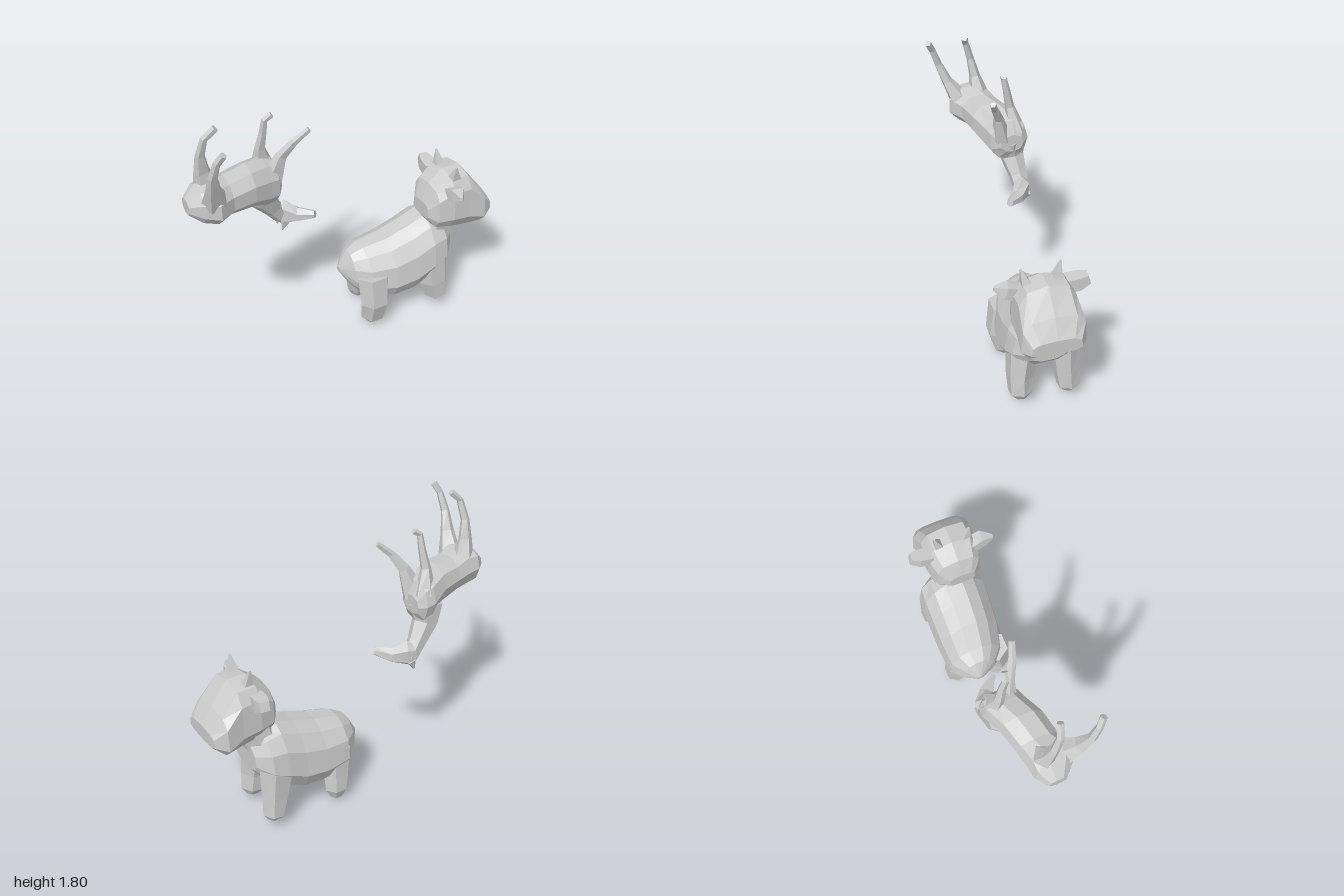
import * as THREE from 'three';

const material = new THREE.MeshStandardMaterial({ color: 0xcccccc, flatShading: true });
const V = (x, y, z) => new THREE.Vector3(x, y, z);

// Closed faceted skin over a list of rings, capped at both ends
function skin(name, rings) {
  const pos = [];
  const n = rings[0].length;
  const tri = (...pts) => pts.forEach((p) => pos.push(p.x, p.y, p.z));
  const middle = (ring) => ring.reduce((s, p) => s.add(p), V(0, 0, 0)).divideScalar(n);
  const first = rings[0], last = rings[rings.length - 1];
  const c0 = middle(first), c1 = middle(last);
  for (let j = 0; j < n; j++) {
    const k = (j + 1) % n;
    for (let i = 0; i < rings.length - 1; i++) {
      const a = rings[i][j], b = rings[i + 1][j], c = rings[i][k], d = rings[i + 1][k];
      tri(a, b, c);
      tri(b, d, c);
    }
    tri(c0, first[j], first[k]);
    tri(c1, last[k], last[j]);
  }
  const geo = new THREE.BufferGeometry();
  geo.setAttribute('position', new THREE.Float32BufferAttribute(pos, 3));
  geo.computeVertexNormals();
  const mesh = new THREE.Mesh(geo, material);
  mesh.name = name;
  return mesh;
}

// Body along x from sections [x, yMin, yMax, zMin, zMax]; taper narrows the top
function trunk(name, sections, sides, power = 0.8, taper = 0) {
  const bulge = (t) => Math.sign(t) * Math.abs(t) ** power;
  return skin(name, sections.map(([x, y0, y1, z0, z1]) =>
    Array.from({ length: sides }, (_, j) => {
      const a = ((j + 0.5) / sides) * Math.PI * 2;
      const c = bulge(Math.cos(a)), s = bulge(Math.sin(a));
      const w = ((z1 - z0) / 2) * (1 - taper * Math.max(0, s));
      return V(x, (y0 + y1) / 2 + (s * (y1 - y0)) / 2, (z0 + z1) / 2 + c * w);
    })));
}

// Limb through stations [x, y, z, radius, depth radius]
function limb(name, stations, sides = 6) {
  const pts = stations.map((s) => V(s[0], s[1], s[2]));
  return skin(name, stations.map(([, , , r, rz = r], i) => {
    const t = pts[Math.min(i + 1, pts.length - 1)].clone().sub(pts[Math.max(i - 1, 0)]).normalize();
    const ref = Math.abs(t.z) > 0.85 ? V(0, 1, 0) : V(0, 0, 1);
    const u = ref.addScaledVector(t, -ref.dot(t)).normalize();
    const v = u.clone().cross(t);
    return Array.from({ length: sides }, (_, j) => {
      const a = ((j + 0.5) / sides) * Math.PI * 2;
      return pts[i].clone().addScaledVector(u, Math.cos(a) * rz).addScaledVector(v, Math.sin(a) * r);
    });
  }));
}

function createCow() {
  const cow = new THREE.Group();
  cow.name = 'cow';
  cow.add(trunk('cowBody', [
    [0, 0.38, 0.42, -0.12, -0.08],
    [0.06, 0.28, 0.53, -0.2, 0.04],
    [0.14, 0.2, 0.575, -0.27, 0.12],
    [0.3, 0.16, 0.61, -0.28, 0.17],
    [0.45, 0.17, 0.66, -0.28, 0.185],
    [0.58, 0.24, 0.71, -0.28, 0.19],
    [0.68, 0.32, 0.68, -0.27, 0.17],
    [0.75, 0.4, 0.6, -0.17, 0.09],
  ], 12, 0.8, 0.3));
  cow.add(limb('cowNeck', [
    [0.58, 0.46, -0.04, 0.15],
    [0.66, 0.61, -0.03, 0.12, 0.14],
    [0.7, 0.72, -0.01, 0.12, 0.14],
  ], 8));
  cow.add(trunk('cowHead', [
    [0.55, 0.72, 0.83, -0.08, 0.1],
    [0.6, 0.65, 0.95, -0.15, 0.16],
    [0.7, 0.63, 1.03, -0.18, 0.19],
    [0.82, 0.61, 1.03, -0.18, 0.19],
    [0.93, 0.61, 0.89, -0.2, 0.2],
    [1, 0.68, 0.78, -0.15, 0.16],
  ], 10, 0.6, 0.1));

  // Legs: thick stumps with blunt feet
  cow.add(limb('frontLegLeft', [
    [0.6, 0.42, 0.08, 0.12, 0.1], [0.62, 0.22, 0.1, 0.1, 0.085],
    [0.645, 0.1, 0.1, 0.08, 0.08], [0.65, 0.055, 0.09, 0.04],
  ]));
  cow.add(limb('frontLegRight', [
    [0.62, 0.42, -0.18, 0.12, 0.1], [0.65, 0.22, -0.19, 0.09, 0.085],
    [0.67, 0.1, -0.2, 0.07, 0.075], [0.67, 0.065, -0.2, 0.04],
  ]));
  cow.add(limb('backLegLeft', [
    [0.17, 0.4, 0.06, 0.11, 0.1], [0.17, 0.2, 0.09, 0.1, 0.09],
    [0.17, 0.07, 0.06, 0.085, 0.08], [0.17, 0.01, 0.04, 0.04],
  ]));
  cow.add(limb('backLegRight', [
    [0.19, 0.4, -0.17, 0.11, 0.1], [0.2, 0.2, -0.19, 0.09, 0.085],
    [0.21, 0.09, -0.21, 0.075, 0.07], [0.21, 0.03, -0.21, 0.04],
  ]));

  // Ears and horns, one pair each
  cow.add(limb('earLeft', [[0.69, 0.92, 0.14, 0.06], [0.69, 0.95, 0.21, 0.055], [0.67, 0.96, 0.275, 0.015]], 4));
  cow.add(limb('earRight', [[0.71, 0.93, -0.13, 0.06], [0.72, 0.94, -0.21, 0.06], [0.73, 0.96, -0.27, 0.04]], 4));
  cow.add(limb('hornLeft', [[0.73, 0.98, 0.1, 0.055, 0.045], [0.72, 1.1, 0.135, 0.006]], 4));
  cow.add(limb('hornRight', [[0.73, 0.98, -0.07, 0.055, 0.045], [0.72, 1.11, -0.1, 0.006]], 4));
  return cow;
}

function createHorse() {
  const horse = new THREE.Group();
  horse.name = 'upturnedHorse';
  horse.add(trunk('horseBody', [
    [-1, 1.24, 1.34, -0.1, 0.01],
    [-0.93, 1.18, 1.41, -0.16, 0.08],
    [-0.85, 1.165, 1.42, -0.17, 0.13],
    [-0.75, 1.17, 1.4, -0.19, 0.07],
    [-0.6, 1.15, 1.41, -0.23, 0.04],
    [-0.48, 1.09, 1.39, -0.28, -0.01],
    [-0.42, 1.09, 1.37, -0.28, -0.03],
    [-0.38, 1.16, 1.28, -0.24, -0.09],
  ], 9, 0.9));
  horse.add(limb('horseNeck', [
    [-0.49, 1.2, -0.17, 0.13, 0.1],
    [-0.475, 1.08, -0.19, 0.085, 0.08],
    [-0.4, 0.97, -0.21, 0.06, 0.06],
    [-0.34, 0.88, -0.22, 0.05, 0.05],
  ]));
  horse.add(limb('horseHead', [
    [-0.37, 0.91, -0.235, 0.06, 0.04],
    [-0.33, 0.91, -0.215, 0.09, 0.055],
    [-0.25, 0.895, -0.16, 0.05, 0.045],
    [-0.17, 0.915, -0.085, 0.025, 0.025],
  ]));
  for (const [name, z] of [['horseEarLeft', -0.175], ['horseEarRight', -0.25]]) {
    horse.add(limb(name, [[-0.33, 0.87, z, 0.035, 0.025], [-0.355, 0.805, z, 0.006]], 4));
  }

  // Slender legs pointing upward, each ending in a small hoof
  horse.add(limb('horseBackLegLeft', [
    [-0.86, 1.33, 0.05, 0.085, 0.07], [-0.89, 1.46, 0.125, 0.05, 0.035],
    [-0.905, 1.58, 0.175, 0.03, 0.025], [-0.89, 1.69, 0.215, 0.022], [-0.86, 1.75, 0.245, 0.022],
  ], 5));
  horse.add(limb('horseBackLegRight', [
    [-0.85, 1.34, -0.08, 0.085, 0.07], [-0.88, 1.48, -0.06, 0.05, 0.035],
    [-0.89, 1.6, -0.035, 0.03, 0.025], [-0.87, 1.72, 0, 0.022], [-0.81, 1.78, 0.02, 0.022],
  ], 5));
  horse.add(limb('horseFrontLegRight', [
    [-0.45, 1.28, -0.21, 0.08, 0.06], [-0.475, 1.44, -0.175, 0.035, 0.03],
    [-0.46, 1.56, -0.15, 0.024], [-0.455, 1.65, -0.13, 0.02], [-0.415, 1.68, -0.12, 0.02],
  ], 5));
  horse.add(limb('horseFrontLegLeft', [
    [-0.44, 1.25, -0.11, 0.08, 0.06], [-0.385, 1.42, -0.075, 0.04, 0.03],
    [-0.32, 1.52, -0.03, 0.024], [-0.24, 1.595, 0, 0.018],
  ], 5));
  return horse;
}

export function createModel() {
  const model = new THREE.Group();
  model.name = 'cowAndHorse';
  model.add(createCow(), createHorse());
  return model;
}
